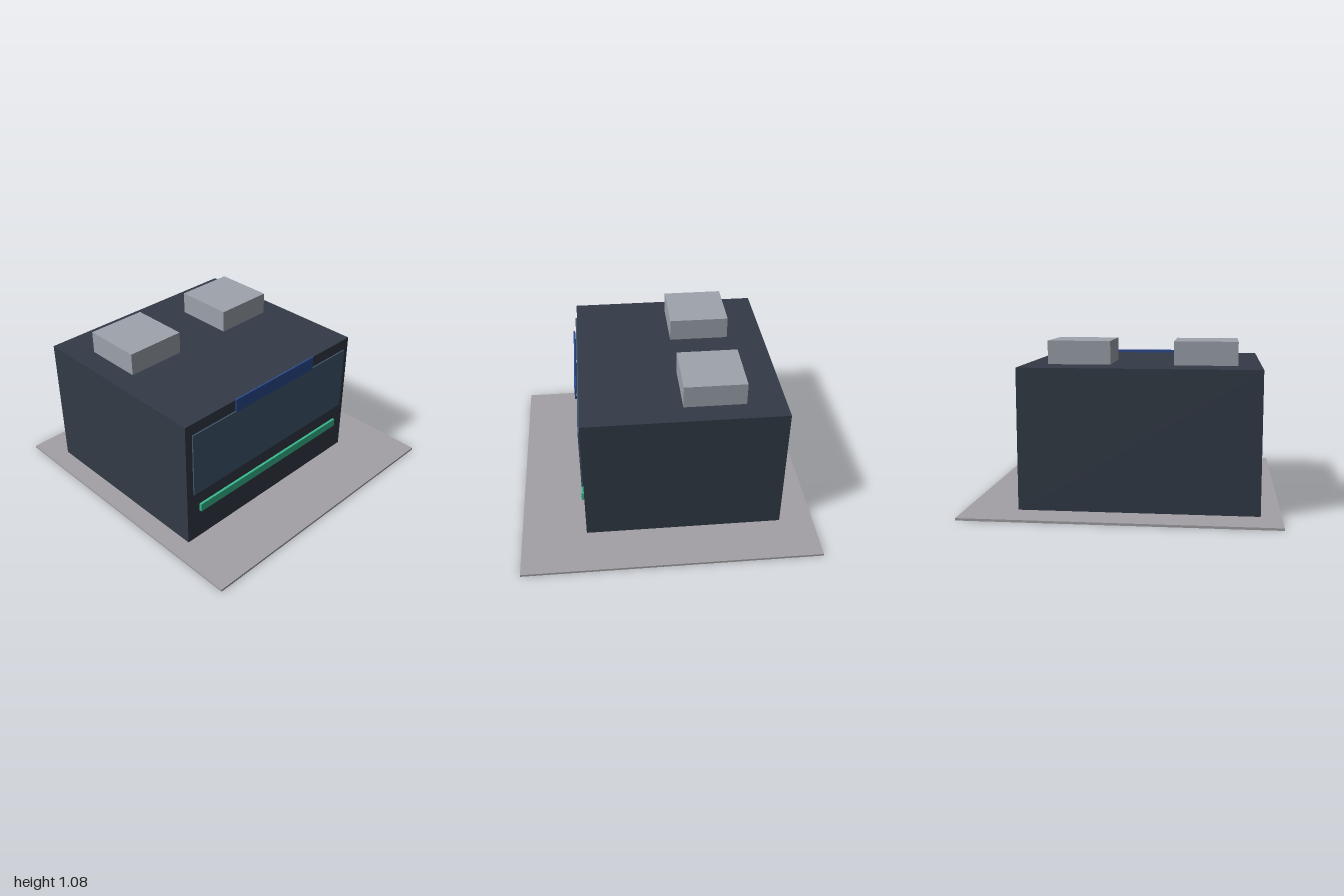
import * as THREE from 'three';

// Box given by its [min, max] range on each axis
function block(name, color, [x0, x1], [y0, y1], [z0, z1]) {
  const mesh = new THREE.Mesh(
    new THREE.BoxGeometry(x1 - x0, y1 - y0, z1 - z0),
    new THREE.MeshStandardMaterial({ color })
  );
  mesh.position.set((x0 + x1) / 2, (y0 + y1) / 2, (z0 + z1) / 2);
  mesh.name = name;
  return mesh;
}

export function createModel() {
  const model = new THREE.Group();
  model.name = 'shopBuilding';

  // Thin ground slab, with the building set off-centre on it
  model.add(block('groundSlab', 0xa3a1a5, [-1, 1], [0, 0.015], [-1, 1]));
  model.add(block('buildingBody', 0x333b47, [-0.87, 0.66], [0.001, 0.925], [-0.77, 0.563]));

  // Shop front: glazing, light strip and a sign board standing slightly proud
  model.add(block('frontWindow', 0x3f566d, [-0.82, 0.61], [0.39, 0.848], [0.566, 0.576]));
  model.add(block('lightStrip', 0x38b78e, [-0.77, 0.56], [0.23, 0.288], [0.566, 0.583]));
  model.add(block('signBoard', 0x2b4a90, [-0.465, 0.255], [0.853, 0.945], [0.576, 0.587]));

  // Two rooftop units
  [['rightRoofUnit', -0.515], ['leftRoofUnit', 0.305]].forEach(([name, x]) => {
    model.add(block(name, 0x9da3ad, [x - 0.205, x + 0.205], [0.92, 1.078], [-0.512, -0.102]));
  });

  return model;
}
